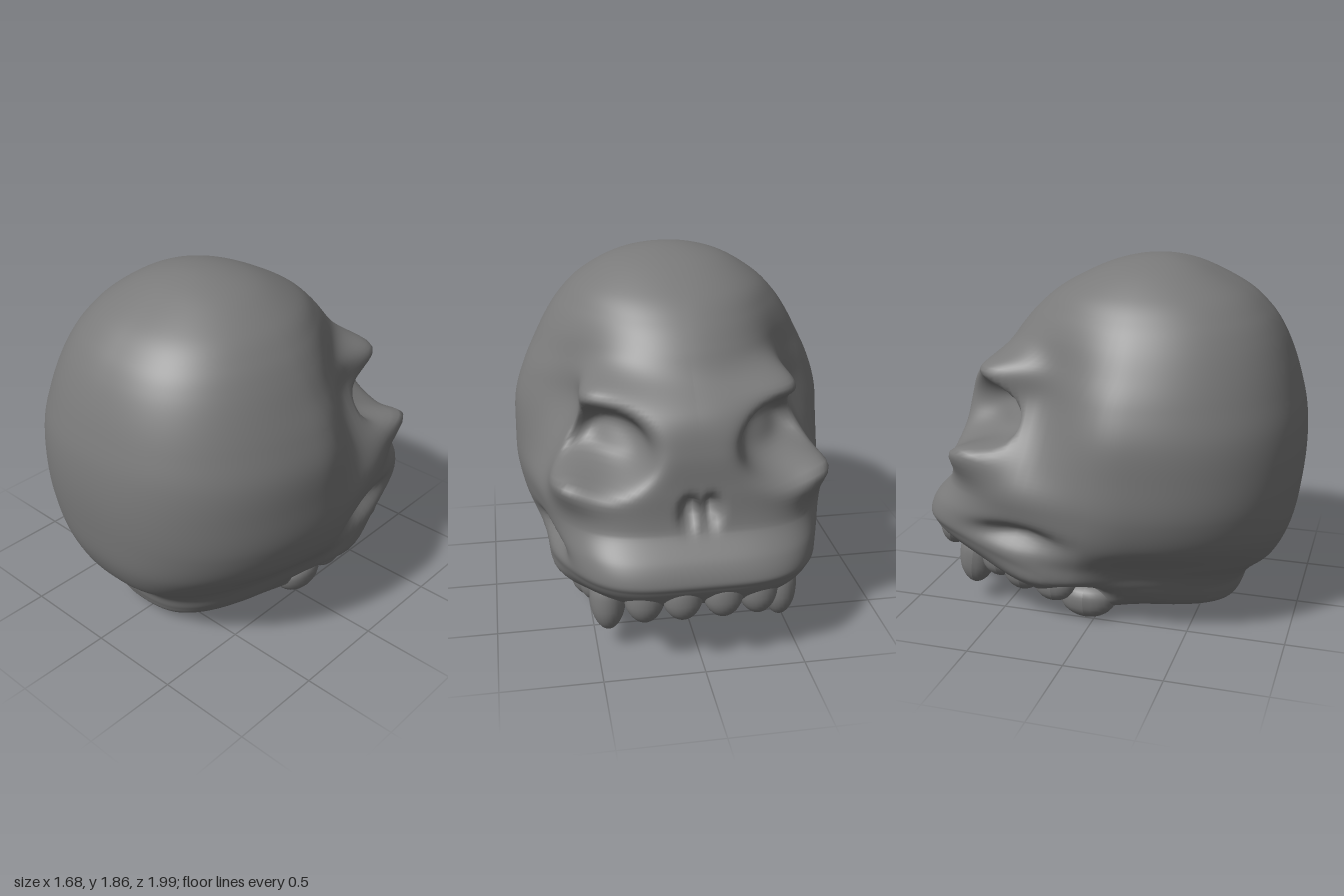
import * as THREE from 'three';

const { smoothstep, lerp, clamp } = THREE.MathUtils;

// Horizontal sections: height, rear z, face z, cranium half width, face half width
const LEVELS = [
  [0.03, 0.56, -0.84, 0.40, 0.42],
  [0.07, 0.67, -0.90, 0.51, 0.52],
  [0.13, 0.705, -0.93, 0.57, 0.60],
  [0.20, 0.73, -0.96, 0.61, 0.65],
  [0.27, 0.79, -0.98, 0.635, 0.68],
  [0.35, 0.88, -0.99, 0.68, 0.71],
  [0.50, 0.95, -0.95, 0.79, 0.73],
  [0.70, 0.985, -0.85, 0.84, 0.745],
  [0.90, 1.00, -0.82, 0.845, 0.75],
  [1.08, 0.99, -0.80, 0.835, 0.72],
  [1.24, 0.955, -0.74, 0.785, 0.67],
  [1.38, 0.91, -0.59, 0.715, 0.62],
  [1.50, 0.855, -0.50, 0.65, 0.57],
  [1.60, 0.785, -0.41, 0.58, 0.52],
  [1.70, 0.675, -0.285, 0.48, 0.46],
  [1.80, 0.49, -0.09, 0.32, 0.32],
  [1.85, 0.35, 0.07, 0.16, 0.16],
  [1.866, 0.22, 0.22, 0, 0],
];

// Sculpting strokes, mirrored in x: centre, radii, push, sharpness of the border
const STROKES = [
  { c: [0.52, 1.32, -0.52], r: [0.24, 0.09, 0.22], d: [0.08, 0.02, -0.10], p: 2 },   // brow
  { c: [0.62, 0.86, -0.62], r: [0.16, 0.08, 0.20], d: [0.05, 0.06, -0.09], p: 2 },   // cheek
  { c: [0.70, 1.16, -0.25], r: [0.30, 0.30, 0.20], d: [-0.12, 0, 0.01], p: 2 },      // temple
  { c: [0.70, 0.74, -0.34], r: [0.20, 0.10, 0.30], d: [0.03, 0, -0.01], p: 2 },      // cheek arch
  { c: [0.70, 0.50, -0.36], r: [0.25, 0.06, 0.22], d: [-0.08, 0.02, 0.02], p: 2 },   // hollow under arch
  { c: [0.62, 0.28, -0.20], r: [0.20, 0.07, 0.28], d: [0.03, -0.01, 0], p: 2 },      // upper jaw flare
  { c: [0.58, 0.18, -0.05], r: [0.20, 0.06, 0.13], d: [-0.10, 0.03, 0], p: 2 },      // jaw joint pocket
  { c: [0.49, 1.06, -0.66], r: [0.26, 0.175, 0.27], d: [-0.12, 0, 0.21], p: 4 },     // eye socket
  { c: [0.05, 0.79, -0.84], r: [0.045, 0.07, 0.2], d: [0, 0.02, 0.08], p: 2.5 },     // nostril
];

// Catmull-Rom blend of the sections, mirrored over the crown so that it closes roundly
function section(t) {
  const n = LEVELS.length - 1;
  const k = Math.min(Math.floor(t), n - 1), f = t - k;
  const [y, rear, face, wide, narrow] = LEVELS[n - 1];
  const at = (i) => (i > n ? [y, face, rear, -wide, -narrow] : LEVELS[clamp(i, 0, n)]);
  return LEVELS[0].map((_, j) => {
    const a = at(k - 1)[j], b = at(k)[j], c = at(k + 1)[j], d = at(k + 2)[j];
    return b + 0.5 * f * (c - a + f * (2 * a - 5 * b + 4 * c - d + f * (3 * (b - c) + d - a)));
  });
}

// Point of the skull surface; u runs once around from the rear, t climbs the levels
function surfacePoint(u, t) {
  const [y, rear, face, wide, narrow] = section(t);
  const side = u <= 0.5 ? 1 : -1;
  const v = (u <= 0.5 ? u : 1 - u) * 2;
  const onFace = v > 0.5;
  // columns gather at the middle of the face and of the rear
  const phi = onFace
    ? Math.PI - (Math.PI / 2) * Math.pow(2 * (1 - v), 2)
    : (Math.PI / 2) * Math.pow(2 * v, 1.3);
  const z = (rear + face) / 2 + ((rear - face) / 2) * Math.cos(phi);
  // boxy muzzle, rounder forehead and cranium
  const power = onFace ? lerp(0.45, 0.92, smoothstep(y, 0.9, 1.4)) : 0.8;
  const width = lerp(narrow, wide, smoothstep(z, -0.4, 0.25));
  const x = Math.pow(Math.max(Math.sin(phi), 0), power) * width;
  // the lower edge rises towards the teeth and a little at the sides
  const rise = 0.3 * (1 - smoothstep(z, -0.95, 0.05)) + 0.08 * smoothstep(x, 0.15, 0.65) * smoothstep(z, -0.1, 0.3);
  const p = [x, y + rise * Math.max(0, 1 - y / 0.7), z];
  const q = p.slice();
  for (const { c, r, d, p: sharp } of STROKES) {
    const dist = Math.hypot(...p.map((value, i) => (value - c[i]) / r[i]));
    const amount = Math.exp(-Math.pow(dist, sharp));
    for (let i = 0; i < 3; i++) q[i] += d[i] * amount;
  }
  // keep the mirror plane closed
  q[0] = p[0] < 1e-4 ? 0 : Math.max(q[0], p[0] * 0.3);
  return [side * q[0], q[1], q[2]];
}

function skullGeometry() {
  const cols = 176, outer = 136, inner = 26;
  const positions = [], index = [];
  // shallow hollow underside, from its middle out to the rim
  for (let j = 0; j < inner; j++) {
    const s = j / inner;
    for (let i = 0; i < cols; i++) {
      const [x, y, z] = surfacePoint(i / cols, 0);
      positions.push(x * s, lerp(y, 0.3, 1 - s * s), lerp(-0.2, z, s));
    }
  }
  // outer surface
  for (let j = 0; j <= outer; j++) {
    const t = (j / outer) * (LEVELS.length - 1);
    for (let i = 0; i < cols; i++) positions.push(...surfacePoint(i / cols, t));
  }
  for (let j = 0; j < inner + outer; j++) {
    for (let i = 0; i < cols; i++) {
      const a = j * cols + i, b = j * cols + ((i + 1) % cols);
      index.push(a, b, b + cols, a, b + cols, a + cols);
    }
  }
  const geometry = new THREE.BufferGeometry();
  geometry.setAttribute('position', new THREE.Float32BufferAttribute(positions, 3));
  geometry.setIndex(index);
  geometry.computeVertexNormals();
  return geometry;
}

// Worn, slightly tapering tooth
function toothGeometry() {
  const geometry = new THREE.SphereGeometry(1, 24, 18);
  const pos = geometry.attributes.position;
  for (let i = 0; i < pos.count; i++) {
    const y = pos.getY(i), k = 1 + 0.18 * y;
    pos.setXYZ(i, pos.getX(i) * k, Math.sign(y) * Math.pow(Math.abs(y), 0.85), pos.getZ(i) * k);
  }
  geometry.computeVertexNormals();
  return geometry;
}

export function createModel() {
  const model = new THREE.Group();
  model.name = 'skull';
  const material = new THREE.MeshStandardMaterial({ color: 0x7a7a7a });

  const cranium = new THREE.Mesh(skullGeometry(), material);
  cranium.name = 'cranium';
  model.add(cranium);

  // Upper teeth and the joint knobs behind them: name, centre, radii, tilt
  const tooth = toothGeometry();
  const parts = [
    ['incisor', [0.10, 0.38, -0.90], [0.10, 0.11, 0.08], 0.2],
    ['sideIncisor', [0.28, 0.37, -0.86], [0.10, 0.12, 0.09], 0.2],
    ['canine', [0.44, 0.26, -0.67], [0.09, 0.15, 0.10], 0.15],
    ['premolar', [0.48, 0.28, -0.52], [0.09, 0.09, 0.10], 0],
    ['molar', [0.50, 0.24, -0.38], [0.10, 0.10, 0.11], 0],
    ['backMolar', [0.53, 0.19, -0.20], [0.08, 0.08, 0.11], 0],
    ['jointKnob', [0.47, 0.11, -0.04], [0.10, 0.10, 0.15], 0],
  ];
  for (const [name, [x, y, z], radii, tilt] of parts) {
    for (const side of [1, -1]) {
      const mesh = new THREE.Mesh(tooth, material);
      mesh.name = (side > 0 ? 'left ' : 'right ') + name;
      mesh.position.set(side * x, y, z);
      mesh.scale.set(...radii);
      mesh.rotation.x = tilt;
      model.add(mesh);
    }
  }
  return model;
}
